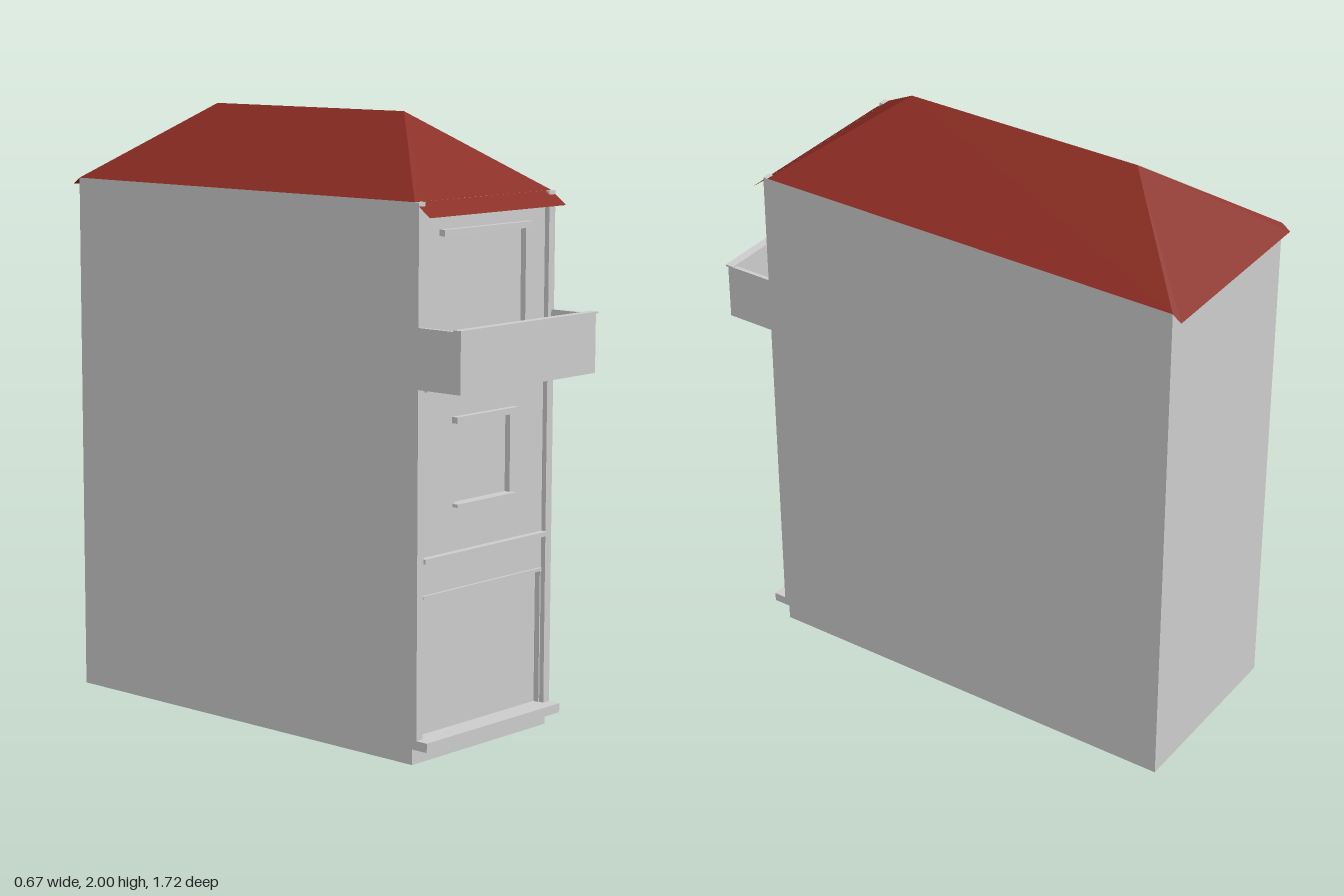
import * as THREE from 'three';

const grey = new THREE.MeshStandardMaterial({ color: 0xcccccc, side: THREE.DoubleSide });
const red = new THREE.MeshStandardMaterial({ color: 0x8a2c22, side: THREE.DoubleSide, flatShading: true });

const HALF = 0.33, WALL = 0.67, BACK = -0.83, EAVE = 1.75, RIDGE = 2;

export function createModel() {
  const group = new THREE.Group();

  const add = (name, geometry, material = grey) => {
    const mesh = new THREE.Mesh(geometry, material);
    mesh.name = name;
    group.add(mesh);
    return mesh;
  };

  // Box between two corners; omit lists sides left open (0..5 = +x -x +y -y +z -z)
  const box = (name, [x0, x1], [y0, y1], [z0, z1], omit = []) => {
    const g = new THREE.BoxGeometry(x1 - x0, y1 - y0, z1 - z0);
    g.translate((x0 + x1) / 2, (y0 + y1) / 2, (z0 + z1) / 2);
    const index = Array.from(g.index.array);
    g.setIndex(index.filter((_, i) => !omit.includes(Math.floor(i / 6))));
    g.clearGroups();
    return add(name, g);
  };

  // Hollow shell, open below, above and at the front
  box('sideAndBackWalls', [-HALF, HALF], [0, EAVE], [BACK, WALL], [2, 3, 4]);

  // Front wall with three openings, each with a recessed panel
  const openings = [
    { name: 'shopFront', x: 0.295, y: [0.08, 0.52] },
    { name: 'middleWindow', x: 0.135, y: [0.80, 1.055] },
    { name: 'balconyDoor', x: 0.205, y: [1.19, 1.64] },
  ];
  const rect = (path, x, y0, y1) =>
    path.moveTo(-x, y0).lineTo(x, y0).lineTo(x, y1).lineTo(-x, y1).closePath();
  const wall = rect(new THREE.Shape(), HALF, 0, EAVE);
  for (const o of openings) {
    wall.holes.push(rect(new THREE.Path(), o.x, ...o.y));
    box(o.name, [-o.x, o.x], o.y, [WALL - 0.02, WALL], [4]);
  }
  add('frontWall', new THREE.ShapeGeometry(wall).translate(0, 0, WALL));

  // Corner pilasters
  for (const s of [-1, 1]) {
    const x = s > 0 ? [0.3, HALF] : [-HALF, -0.3];
    box(s > 0 ? 'leftPilaster' : 'rightPilaster', x, [0.08, EAVE], [WALL, 0.687]);
  }

  // Front step, ledges, lintels and sill
  const trims = [
    ['frontStep', HALF, 0.05, 0.08, 0.73],
    ['shopLintel', 0.29, 0.52, 0.53, 0.68],
    ['floorLedge', 0.3, 0.635, 0.65, 0.694],
    ['middleSill', 0.145, 0.79, 0.80, 0.69],
    ['middleLintel', 0.15, 1.055, 1.075, 0.692],
    ['balconyLedge', 0.3, 1.17, 1.18, 0.697],
    ['doorLintel', 0.215, 1.64, 1.66, 0.692],
  ];
  for (const [name, x, y0, y1, z] of trims) box(name, [-x, x], [y0, y1], [WALL, z]);

  // Balcony: floor, parapets and a thin cap
  box('balconyFloor', [-HALF, HALF], [1.18, 1.19], [WALL, 0.855]);
  box('balconyFront', [-HALF, HALF], [1.18, 1.37], [0.835, 0.855]);
  box('balconyLeftSide', [0.316, HALF], [1.18, 1.37], [WALL, 0.835]);
  box('balconyRightSide', [-HALF, -0.316], [1.18, 1.37], [WALL, 0.835]);
  box('balconyCap', [-0.336, 0.336], [1.37, 1.376], [0.83, 0.86]);

  // Hipped roof sheets, with the front and back slopes carried past the walls
  const a = [0, RIDGE, 0.335], b = [0, RIDGE, -0.5];
  const corner = (s, y, z) => [s * HALF, y, z];
  const [fl, fr] = [1, -1].map(s => corner(s, EAVE, WALL));
  const [bl, br] = [1, -1].map(s => corner(s, EAVE, BACK));
  const [el, er] = [1, -1].map(s => corner(s, 1.705, 0.73));
  const [gl, gr] = [1, -1].map(s => corner(s, 1.728, -0.86));
  const sheet = (name, ...p) => {
    const points = [];
    for (let i = 1; i < p.length - 1; i++) points.push(...p[0], ...p[i], ...p[i + 1]);
    const g = new THREE.BufferGeometry();
    g.setAttribute('position', new THREE.Float32BufferAttribute(points, 3));
    g.computeVertexNormals();
    add(name, g, red);
  };
  sheet('roofLeft', a, fl, bl, b);
  sheet('roofRight', b, br, fr, a);
  sheet('roofFront', a, fr, er, el, fl);
  sheet('roofBack', b, bl, gl, gr, br);

  return group;
}
